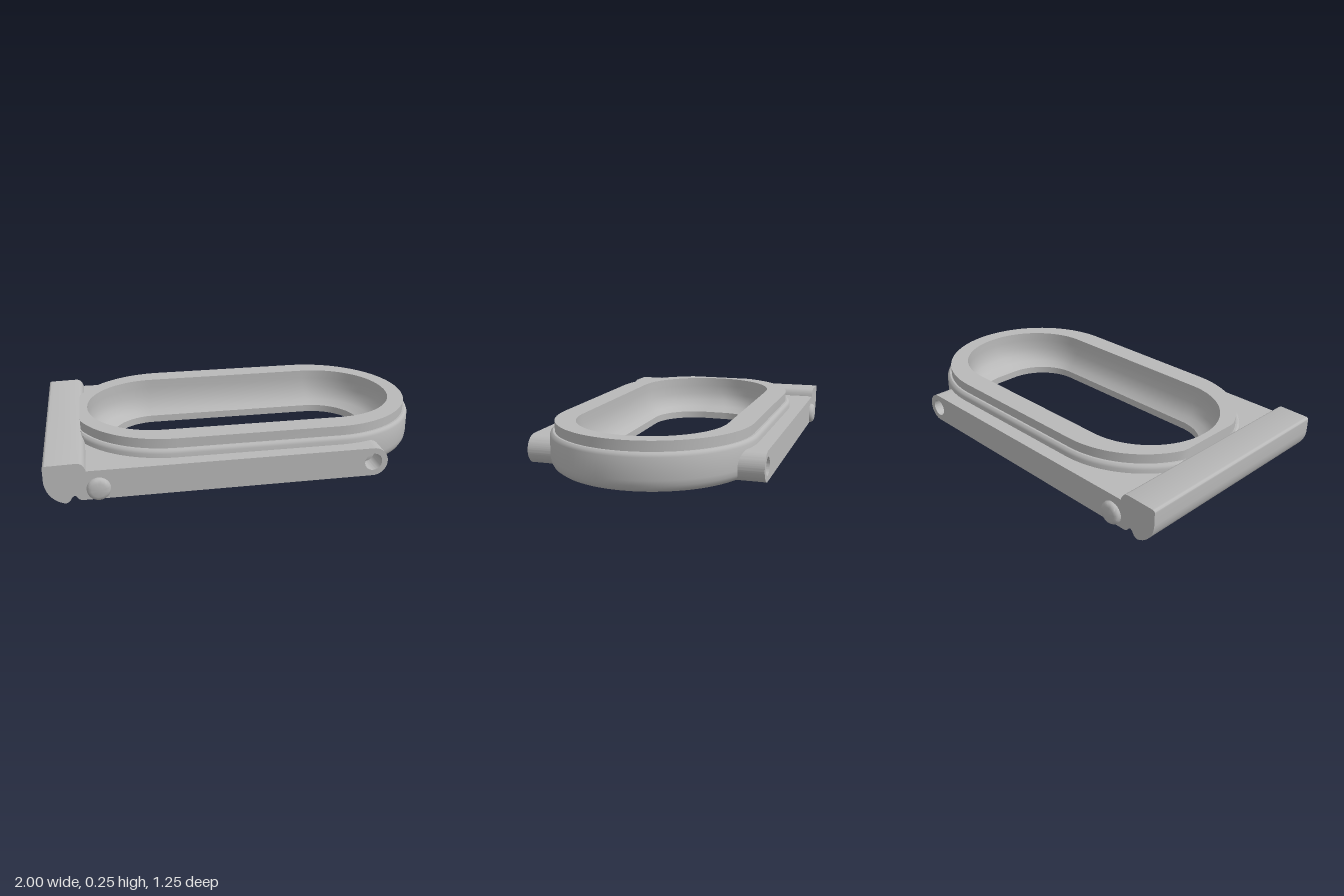
import * as THREE from 'three';
import { toCreasedNormals, mergeVertices } from 'three/addons/utils/BufferGeometryUtils.js';

const CORNER = 24; // steps per rounded corner
const LEFT_FLAT = -0.82; // the ring is cut flat where it meets the clasp bar

// Rounded rectangle in plan: ends xl and xr, half width w, corner radius r
function ring(xl, xr, w, r, y) {
  const pts = [];
  const centres = [[xr - r, w - r], [xl + r, w - r], [xl + r, r - w], [xr - r, r - w]];
  centres.forEach(([cx, cz], q) => {
    for (let i = 0; i <= CORNER; i++) {
      const a = (q + i / CORNER) * Math.PI / 2;
      pts.push([Math.max(LEFT_FLAT, cx + r * Math.cos(a)), y, cz + r * Math.sin(a)]);
    }
  });
  return pts;
}

// Closed skin through a loop of rings
function loft(rings) {
  const n = rings[0].length, m = rings.length, index = [];
  for (let j = 0; j < m; j++) {
    for (let i = 0; i < n; i++) {
      const k = (i + 1) % n, up = (j + 1) % m;
      const a = j * n + i, b = j * n + k, c = up * n + i, d = up * n + k;
      index.push(a, c, b, b, c, d);
    }
  }
  const geo = new THREE.BufferGeometry();
  geo.setAttribute('position', new THREE.Float32BufferAttribute(rings.flat(2), 3));
  geo.setIndex(index);
  return toCreasedNormals(mergeVertices(geo), 0.6);
}

function extrude(shape, depth) {
  const geo = new THREE.ExtrudeGeometry(shape, { depth, bevelEnabled: false, curveSegments: 24 });
  return toCreasedNormals(geo, 0.6);
}

export function createModel() {
  const group = new THREE.Group();
  const grey = new THREE.MeshStandardMaterial({ color: 0xb8b8b8 });
  grey.name = 'plain grey';
  const add = (name, geo, x = 0, y = 0, z = 0) => {
    const mesh = new THREE.Mesh(geo, grey);
    mesh.name = name;
    mesh.position.set(x, y, z);
    group.add(mesh);
    return mesh;
  };

  // Oval frame: rounded outer wall, ledge, raised rim, hollow inside, bottom lip
  const outer = (inset, y) =>
    ring(-0.88 + inset, 1 - inset, 0.525 - inset, 0.525 - inset, y);
  add('ovalFrame', loft([
    outer(0.06, 0.01), outer(0.035, 0.015), outer(0.015, 0.03), outer(0.004, 0.05), outer(0, 0.075),
    outer(0, 0.18), outer(0.005, 0.193), outer(0.015, 0.2), outer(0.025, 0.2), outer(0.025, 0.25),
    ring(-0.78, 0.89, 0.38, 0.375, 0.25),
    ring(-0.78, 0.89, 0.38, 0.375, 0.2),
    ring(-0.775, 0.885, 0.375, 0.36, 0.15),
    ring(-0.755, 0.865, 0.36, 0.33, 0.11),
    ring(-0.715, 0.83, 0.34, 0.29, 0.075),
    ring(-0.65, 0.77, 0.31, 0.25, 0.05),
    ring(-0.65, 0.77, 0.31, 0.25, 0.01),
  ]));

  // U-shaped base plate around the frame
  const plate = new THREE.Shape();
  plate.moveTo(-0.83, -0.6);
  plate.lineTo(0.55, -0.6);
  plate.lineTo(0.55, -0.45);
  plate.lineTo(-0.35, -0.45);
  plate.absarc(-0.35, 0, 0.45, -Math.PI / 2, -Math.PI * 1.5, true);
  plate.lineTo(0.55, 0.45);
  plate.lineTo(0.55, 0.6);
  plate.lineTo(-0.83, 0.6);
  plate.closePath();
  const plateGeo = extrude(plate, 0.15);
  plateGeo.rotateX(Math.PI / 2);
  add('basePlate', plateGeo, 0, 0.16, 0);

  // Rounded arm end with a pin hole
  const arm = new THREE.Shape();
  arm.moveTo(0.55, 0.01);
  arm.lineTo(0.627, 0.01);
  arm.absarc(0.627, 0.085, 0.075, -Math.PI / 2, Math.PI / 2, false);
  arm.lineTo(0.55, 0.16);
  arm.closePath();
  const hole = new THREE.Path();
  hole.absarc(0.627, 0.085, 0.045, 0, Math.PI * 2, true);
  arm.holes.push(hole);

  // Domed pin head
  const pinProfile = [[0, 0.045], [0.035, 0.045], [0.049, 0.04], [0.056, 0.031], [0.058, 0.02], [0.058, 0]]
    .reverse().map(([x, y]) => new THREE.Vector2(x, y));
  const pinGeo = toCreasedNormals(new THREE.LatheGeometry(pinProfile, 32), 0.6);

  for (const side of [1, -1]) {
    const label = side > 0 ? 'front' : 'back';
    add(label + 'ArmEnd', extrude(arm, 0.15), 0, 0, side > 0 ? 0.45 : -0.6);
    const pin = add(label + 'Pin', pinGeo, -0.745, 0.065, side * 0.58);
    pin.rotation.x = side * Math.PI / 2;
  }

  // Clasp bar: hooked profile running the full width
  const bar = new THREE.Shape();
  bar.moveTo(-0.985, 0.2);
  bar.quadraticCurveTo(-1, 0.2, -1, 0.185);
  bar.lineTo(-1, 0.12);
  bar.bezierCurveTo(-0.995, 0.05, -0.95, 0.01, -0.905, 0);
  bar.quadraticCurveTo(-0.89, 0, -0.88, 0.015);
  bar.quadraticCurveTo(-0.865, 0.045, -0.85, 0.03);
  bar.quadraticCurveTo(-0.84, 0.01, -0.82, 0.01);
  bar.lineTo(-0.8, 0.01);
  bar.lineTo(-0.8, 0.16);
  bar.quadraticCurveTo(-0.81, 0.2, -0.84, 0.203);
  bar.closePath();
  add('claspBar', extrude(bar, 1.2), 0, 0, -0.6);

  return group;
}
